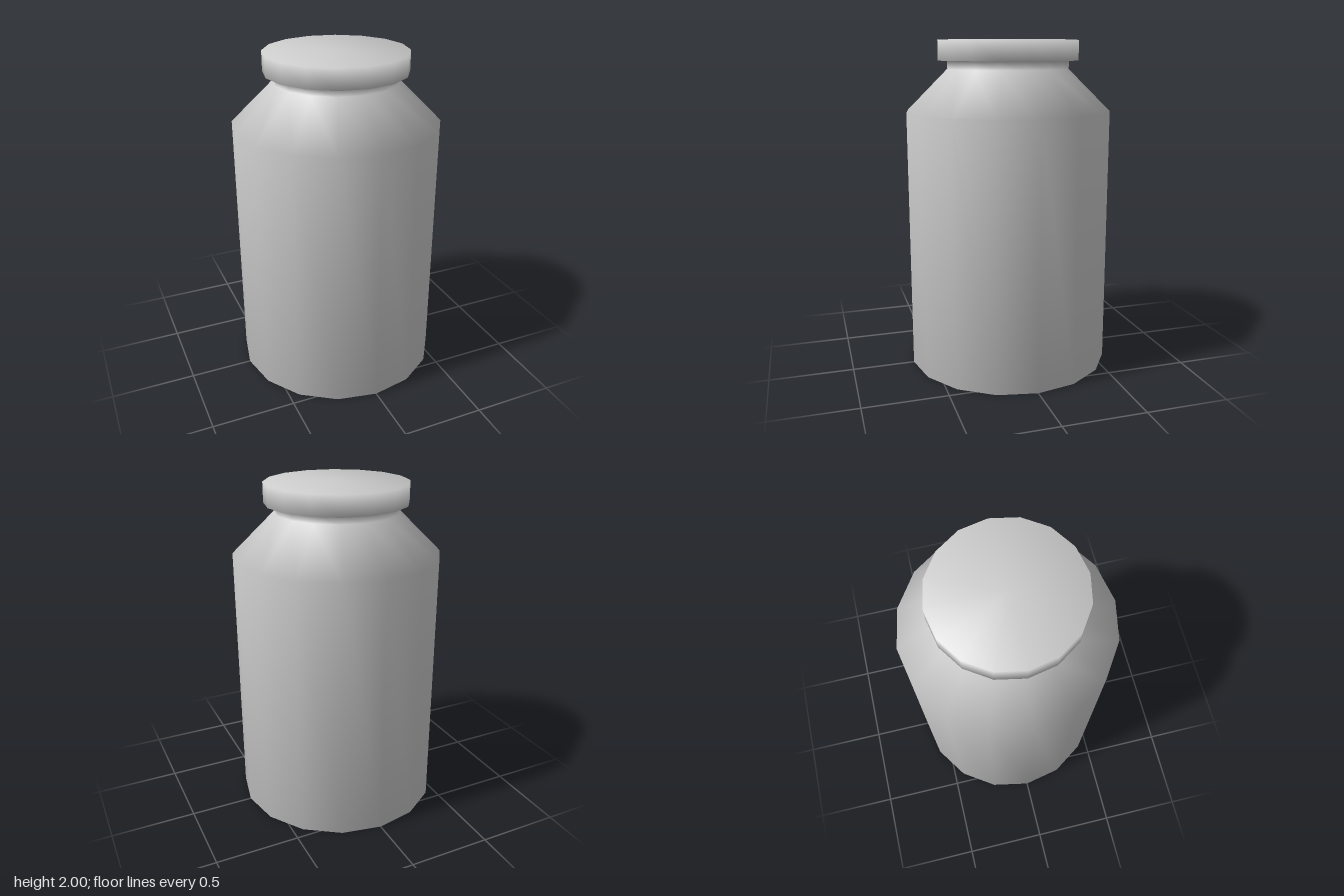
import * as THREE from 'three';
import { mergeVertices } from 'three/addons/utils/BufferGeometryUtils.js';

const SIDES = 16;
const LID_Y = 1.88;

// Half outline [radius, height], from the centre of the base to the centre of the lid
const PROFILE = [
  [0, 0], [0.622, 0], [0.622, 1.58], // base and straight wall
  [0.37, 1.83], [0.37, LID_Y],       // shoulder and neck
  [0.428, LID_Y], [0.428, 2], [0, 2] // lid
];

// Smooth shell whose normals flow over every edge
function makeShell() {
  const points = PROFILE.map(([r, y]) => new THREE.Vector2(r, y));
  const lathe = new THREE.LatheGeometry(points, SIDES);
  lathe.deleteAttribute('uv');
  lathe.deleteAttribute('normal');
  const shell = mergeVertices(lathe, 1e-4);
  shell.computeVertexNormals();
  return shell;
}

// Keep the triangles on one side of the lid seam, sharing the shell's normals
function slice(shell, wantLid) {
  const pos = shell.attributes.position;
  const kept = [];
  for (let i = 0; i < shell.index.count; i += 3) {
    const tri = [0, 1, 2].map((k) => shell.index.getX(i + k));
    if (new Set(tri).size < 3) continue; // collapsed at the poles
    const isLid = tri.every((v) => pos.getY(v) > LID_Y - 0.005);
    if (isLid === wantLid) kept.push(...tri);
  }
  const part = shell.clone();
  part.setIndex(kept);
  return part;
}

export function createModel() {
  const group = new THREE.Group();
  group.name = 'jar';
  const grey = new THREE.MeshStandardMaterial({ color: 0xcccccc });
  grey.name = 'light grey';

  const shell = makeShell();
  for (const [name, isLid] of [['jarBody', false], ['lid', true]]) {
    const mesh = new THREE.Mesh(slice(shell, isLid), grey);
    mesh.name = name;
    group.add(mesh);
  }
  return group;
}
